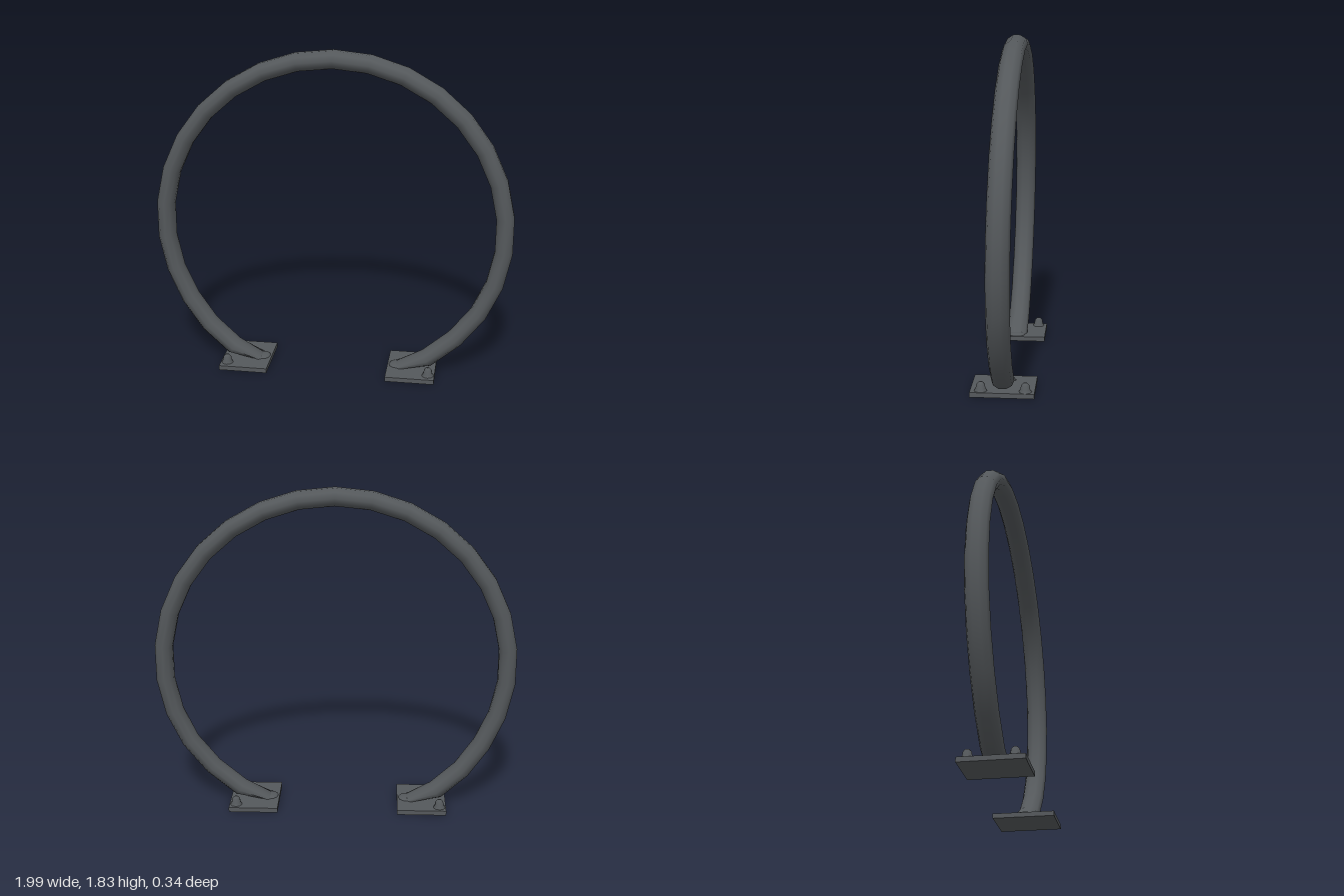
import * as THREE from 'three';
import { mergeVertices } from 'three/addons/utils/BufferGeometryUtils.js';

const steel = new THREE.MeshStandardMaterial({ color: 0x54585b });
steel.name = 'dark grey steel';

function part(name, geometry, x = 0, y = 0, z = 0) {
  const mesh = new THREE.Mesh(geometry, steel);
  mesh.name = name;
  mesh.position.set(x, y, z);
  return mesh;
}

// Bent pipe: open ring, a little deeper than wide, leaning back towards the top
function hoopGeometry() {
  const points = [];
  const from = THREE.MathUtils.degToRad(-66), to = Math.PI - from;
  for (let i = 0; i <= 26; i++) {
    const a = from + (to - from) * i / 26;
    points.push(new THREE.Vector3(0.95 * Math.cos(a), 0.84 + 0.94 * Math.sin(a), 0));
  }
  const tube = new THREE.TubeGeometry(new THREE.CatmullRomCurve3(points), 26, 0.051, 10);
  const p = tube.attributes.position;
  for (let i = 0; i < p.count; i++) {
    const y = Math.max(p.getY(i), 0.018); // flat cut where it meets the plates
    const x = p.getX(i) - 0.02 * Math.max(0, 1 - y / 0.4);
    p.setXYZ(i, x, y, p.getZ(i) * 1.18 - 0.03 * y / 1.8);
  }
  tube.deleteAttribute('uv');
  tube.deleteAttribute('normal');
  const smooth = mergeVertices(tube, 1e-4);
  smooth.computeVertexNormals();
  return smooth;
}

// Domed anchor bolt with a flared foot
const boltGeometry = new THREE.LatheGeometry(
  [[0.034, 0], [0.026, 0.012], [0.022, 0.035], [0.012, 0.046], [0, 0.048]]
    .map(([r, y]) => new THREE.Vector2(r, y)), 10);

// Base plate with two bolts on the outer side and a low weld on the inner side
function foot(name, side, centerX) {
  const group = new THREE.Group();
  group.name = name;
  group.position.x = centerX;
  group.add(part('basePlate', new THREE.BoxGeometry(0.275, 0.026, 0.338), 0, 0.013, 0));
  for (const z of [-0.12, 0.113]) {
    group.add(part('anchorBolt', boltGeometry, side * 0.1, 0.026, z));
  }
  const weld = part('weldBead', new THREE.SphereGeometry(1, 10, 6, 0, Math.PI * 2, 0, Math.PI / 2),
    -side * 0.09, 0.025, 0);
  weld.scale.set(0.04, 0.014, 0.05);
  group.add(weld);
  return group;
}

export function createModel() {
  const model = new THREE.Group();
  model.name = 'hoopBikeRack';
  model.add(part('hoop', hoopGeometry()));
  model.add(foot('leftFoot', 1, 0.458));
  model.add(foot('rightFoot', -1, -0.492));
  return model;
}
